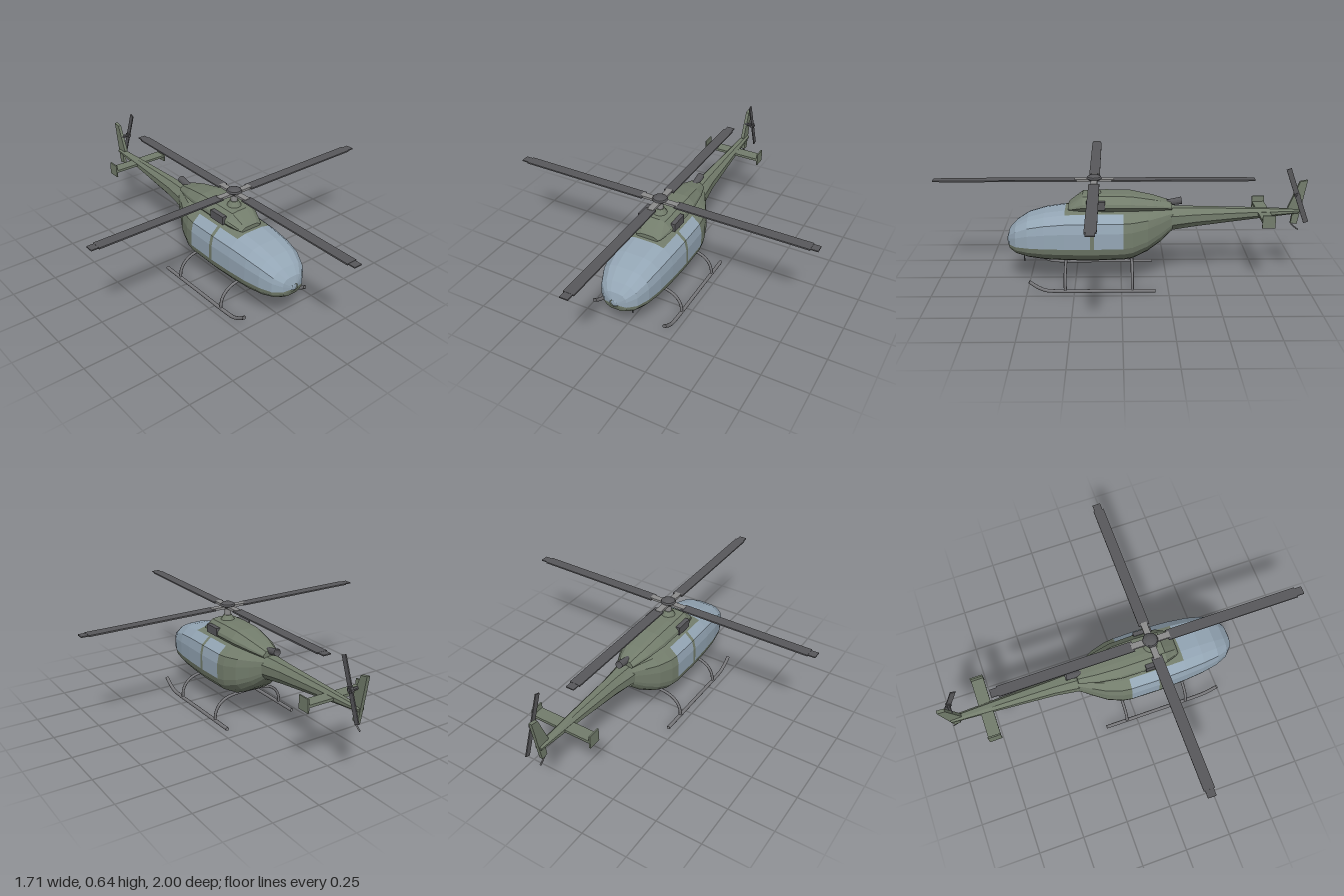
import * as THREE from 'three';

const paint = (color) => new THREE.MeshStandardMaterial({ color, flatShading: true, side: THREE.DoubleSide });
const green = paint(0x737d6c), glass = paint(0x94a6b5), dark = paint(0x58585b);
const steel = paint(0x8c8c8c);
const tubeGrey = new THREE.MeshStandardMaterial({ color: 0x77777a, side: THREE.DoubleSide });

// Half profiles as [u, v]: u scales the half width, v runs from bottom to top
const HULL = [[0, 0], [0.45, 0], [0.76, 0.09], [0.95, 0.22], [1, 0.34], [1, 0.64], [0.93, 0.82], [0.66, 0.96], [0.35, 1], [0, 1]];
const BOOM = [[0, 0], [0.45, 0], [1, 0.3], [1, 0.7], [0.45, 1], [0, 1]];
const COWL = [[0, 0], [0.75, 0], [1, 0.35], [0.96, 0.55], [0.62, 0.95], [0.3, 1], [0, 1]];

// Skins sections [z, halfWidth, bottom, top] from front to back; keep(z, j) selects panels
function loft(half, sections, keep = () => true, caps = true) {
  const ring = [...half, ...half.slice(1, -1).reverse().map(([u, v]) => [-u, v])];
  const n = ring.length, pos = [];
  const rows = sections.map(([z, w, b, t]) => ring.map(([u, v]) => [u * w, b + v * (t - b), z]));
  const tri = (...pts) => pts.forEach((p) => pos.push(...p));
  for (let i = 0; i < rows.length - 1; i++) {
    const mid = (sections[i][0] + sections[i + 1][0]) / 2;
    for (let j = 0; j < n; j++) {
      if (!keep(mid, Math.min(j, n - 1 - j))) continue;
      const k = (j + 1) % n, a = rows[i][j], b = rows[i][k], c = rows[i + 1][k], d = rows[i + 1][j];
      tri(a, d, c);
      tri(a, c, b);
    }
  }
  if (caps) {
    [[0, 1], [rows.length - 1, -1]].forEach(([i, s]) => {
      const [z, , b, t] = sections[i], mid = [0, (b + t) / 2, z];
      for (let j = 0; j < n; j++) {
        const p = rows[i][j], q = rows[i][(j + 1) % n];
        if (s > 0) tri(mid, p, q); else tri(mid, q, p);
      }
    });
  }
  const g = new THREE.BufferGeometry();
  g.setAttribute('position', new THREE.Float32BufferAttribute(pos, 3));
  g.computeVertexNormals();
  return g;
}

export function createModel() {
  const model = new THREE.Group();
  const add = (name, geometry, material, x = 0, y = 0, z = 0, parent = model) => {
    const m = new THREE.Mesh(geometry, material);
    m.name = name;
    m.position.set(x, y, z);
    parent.add(m);
    return m;
  };
  const box = (w, h, d) => new THREE.BoxGeometry(w, h, d);
  const cyl = (r1, r2, h, n = 12) => new THREE.CylinderGeometry(r1, r2, h, n);
  const tube = (pts, r, n = 24) =>
    new THREE.TubeGeometry(new THREE.CatmullRomCurve3(pts.map((p) => new THREE.Vector3(...p))), n, r, 8);

  // Cabin: one skin split into glazing and painted panels
  const body = [
    [0.616, 0.022, 0.215, 0.25], [0.603, 0.065, 0.185, 0.292], [0.565, 0.105, 0.163, 0.33],
    [0.5, 0.133, 0.147, 0.37], [0.41, 0.15, 0.136, 0.395], [0.3, 0.16, 0.131, 0.41],
    [0.165, 0.166, 0.13, 0.416], [0.145, 0.166, 0.13, 0.416], [-0.01, 0.165, 0.134, 0.416],
    [-0.06, 0.158, 0.142, 0.416], [-0.14, 0.132, 0.178, 0.415], [-0.21, 0.092, 0.225, 0.413],
    [-0.275, 0.056, 0.285, 0.41],
  ];
  const isGlass = (z, j) => {
    if (j < 4 || z < -0.01 || (z > 0.145 && z < 0.165)) return false;
    return z > 0.3 || j < 7;
  };
  add('hull', loft(HULL, body, (z, j) => !isGlass(z, j), false), green);
  add('windows', loft(HULL, body, isGlass, false), glass);
  const noseTip = add('noseCap', new THREE.SphereGeometry(1, 10, 6), glass, 0, 0.2325, 0.614);
  noseTip.scale.set(0.021, 0.017, 0.004);

  // Tail boom
  add('tailBoom', loft(BOOM, [
    [-0.26, 0.06, 0.285, 0.41], [-0.4, 0.043, 0.305, 0.408], [-0.7, 0.029, 0.342, 0.403], [-0.96, 0.018, 0.373, 0.395],
  ]), green);

  // Engine cowling with side intakes and exhaust
  add('engineCowling', loft(COWL, [
    [0.282, 0.062, 0.405, 0.432], [0.268, 0.074, 0.405, 0.444], [0.205, 0.098, 0.405, 0.49],
    [0.08, 0.105, 0.405, 0.494], [-0.05, 0.102, 0.405, 0.491], [-0.17, 0.08, 0.405, 0.468], [-0.27, 0.048, 0.4, 0.44],
  ]), green);
  for (const s of [1, -1]) add('intake', box(0.024, 0.046, 0.1), dark, s * 0.097, 0.449, 0.135);
  const exhaust = add('exhaust', new THREE.CylinderGeometry(0.02, 0.017, 0.085, 12, 1, true), dark, 0, 0.439, -0.283);
  exhaust.rotation.x = -Math.PI / 2 + 0.18;

  // Main rotor
  const rotor = new THREE.Group();
  rotor.name = 'mainRotor';
  rotor.position.set(0, 0, 0.143);
  model.add(rotor);
  add('mastBase', cyl(0.022, 0.04, 0.03), green, 0, 0.503, 0, rotor);
  add('mast', cyl(0.018, 0.018, 0.08), steel, 0, 0.535, 0, rotor);
  const capPoints = [[0, 0.592], [0.02, 0.589], [0.036, 0.581], [0.041, 0.572], [0.034, 0.565], [0.018, 0.552], [0, 0.552]];
  add('hubCap', new THREE.LatheGeometry(capPoints.reverse().map((p) => new THREE.Vector2(...p)), 14), dark, 0, 0, 0, rotor);
  for (let i = 0; i < 4; i++) {
    const arm = new THREE.Group();
    arm.name = 'rotorArm';
    arm.rotation.y = (i * Math.PI) / 2;
    rotor.add(arm);
    add('bladeGrip', box(0.09, 0.013, 0.034), steel, 0.06, 0.563, 0, arm);
    add('blade', box(0.725, 0.008, 0.057), dark, 0.455, 0.563, 0, arm);
    add('bladeTip', box(0.04, 0.006, 0.044), dark, 0.836, 0.563, 0, arm);
  }

  // Stabiliser with end plates
  add('stabiliser', box(0.34, 0.014, 0.066), green, 0, 0.378, -0.768);
  for (const s of [1, -1]) add('endPlate', box(0.008, 0.07, 0.068), green, s * 0.169, 0.38, -0.768);

  // Tail fin drawn in the side plane, then turned upright
  const fin = new THREE.Shape([
    [0.955, 0.55], [0.995, 0.557], [0.968, 0.4], [0.952, 0.312], [0.918, 0.318], [0.925, 0.375], [0.898, 0.402],
  ].map((p) => new THREE.Vector2(...p)));
  const finGeo = new THREE.ExtrudeGeometry(fin, { depth: 0.018, bevelEnabled: false });
  finGeo.translate(0, 0, -0.009).rotateY(Math.PI / 2);
  add('tailFin', finGeo, green);
  add('tailSkid', tube([[0, 0.318, -0.918], [0, 0.295, -0.94], [0, 0.277, -0.963]], 0.004, 6), tubeGrey);

  // Tail rotor on the left side
  const tailRotor = new THREE.Group();
  tailRotor.name = 'tailRotor';
  tailRotor.position.set(0.046, 0.483, -0.936);
  tailRotor.rotation.x = 0.356;
  model.add(tailRotor);
  add('tailShaft', cyl(0.009, 0.009, 0.06, 8), dark, -0.018, 0, 0, tailRotor).rotation.z = Math.PI / 2;
  add('tailHub', cyl(0.016, 0.016, 0.016, 10), dark, 0, 0, 0, tailRotor).rotation.z = Math.PI / 2;
  for (const s of [1, -1]) add('tailBlade', box(0.006, 0.15, 0.027), dark, 0, s * 0.083, 0, tailRotor);

  // Landing skids and arched cross tubes
  for (const s of [1, -1]) {
    const x = s * 0.21;
    add('skid', tube([[x, 0.011, -0.18], [x, 0.011, 0.1], [x, 0.011, 0.34], [x, 0.016, 0.4], [x, 0.036, 0.445], [x, 0.066, 0.487]], 0.01, 40), tubeGrey);
  }
  const arch = [[0.21, 0.012], [0.206, 0.055], [0.185, 0.095], [0.145, 0.124], [0.09, 0.136]];
  for (const z of [0.298, -0.057]) {
    const pts = [...arch, ...arch.map(([x, y]) => [-x, y]).reverse()].map(([x, y]) => [x, y, z]);
    add('crossTube', tube(pts, 0.008, 40), tubeGrey);
  }

  // Small probe under the nose
  add('probe', cyl(0.003, 0.003, 0.05, 6), dark, 0.05, 0.143, 0.525);
  return model;
}
